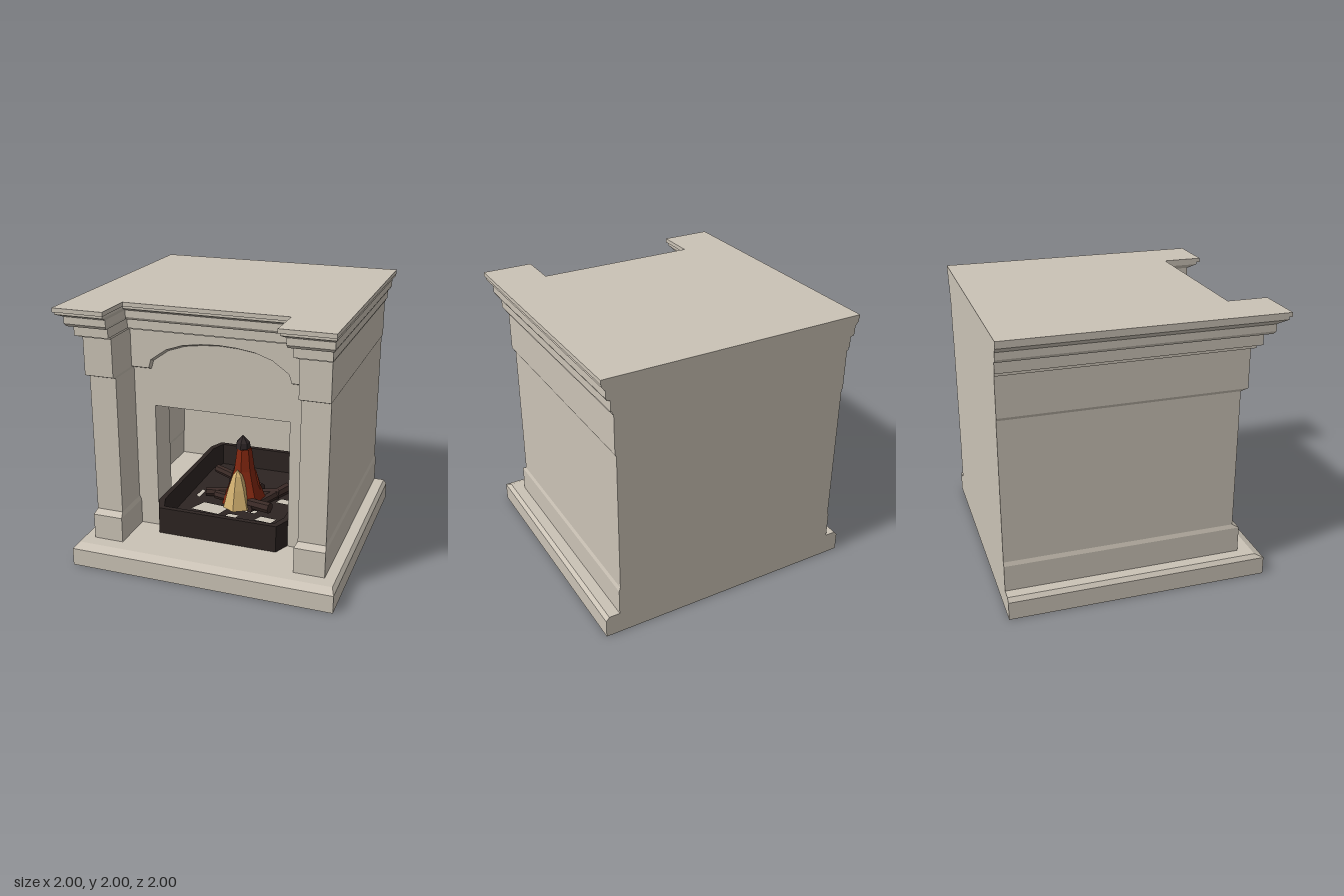
import * as THREE from 'three';

const mat = (name, color) => {
  const m = new THREE.MeshStandardMaterial({ color, flatShading: true, side: THREE.DoubleSide });
  m.name = name;
  return m;
};

// Skin between cross-sections: each row is a list of [x, y, z] points
function loft(rows) {
  const pos = [];
  for (let i = 0; i < rows.length - 1; i++) {
    for (let j = 0; j < rows[i].length - 1; j++) {
      const a = rows[i][j], b = rows[i][j + 1], c = rows[i + 1][j + 1], d = rows[i + 1][j];
      pos.push(...a, ...b, ...c, ...a, ...c, ...d);
    }
  }
  const g = new THREE.BufferGeometry();
  g.setAttribute('position', new THREE.Float32BufferAttribute(pos, 3));
  g.computeVertexNormals();
  return g;
}

const outline = pts => new THREE.Shape(pts.map(([x, y]) => new THREE.Vector2(x, y)));

// Horizontal face from [x, z] points
function plate(pts, y, holes = []) {
  const s = outline(pts.map(([x, z]) => [x, -z]));
  s.holes = holes.map(h => outline(h.map(([x, z]) => [x, -z])));
  return new THREE.ShapeGeometry(s).rotateX(-Math.PI / 2).translate(0, y, 0);
}

export function createModel() {
  const group = new THREE.Group();
  const stone = mat('stone', 0xcbc3b6);
  const iron = mat('darkIron', 0x2d2422);
  const wood = mat('charredWood', 0x3a2a26);
  const red = mat('flameRed', 0x80260f);
  const gold = mat('flameGold', 0xd2b070);
  const smoke = mat('smokyTip', 0x2f2728);
  const add = (name, geo, material) => {
    const m = new THREE.Mesh(geo, material);
    m.name = name;
    group.add(m);
    return m;
  };

  // Hearth slab with a chamfered top edge
  const slab = [[0, 1, 0.915], [0.135, 1, 0.915], [0.165, 0.975, 0.85]];
  const slabPlan = ([, x, z]) => [[-x, -1], [-x, z], [x, z], [x, -1], [-x, -1]];
  add('hearthSlab', loft(slab.map(l => slabPlan(l).map(([x, z]) => [x, l[0], z]))), stone);
  add('hearthTop', plate(slabPlan(slab[2]).slice(0, 4), 0.165), stone);
  add('hearthUnderside', plate(slabPlan(slab[0]).slice(0, 4).reverse(), 0).rotateZ(Math.PI), stone);

  // Levels of the body: height, outer x, inner x of the pillar, front z
  const levels = [
    [0.165, 0.895, 0.665, 0.75], [0.36, 0.895, 0.665, 0.75], [0.39, 0.885, 0.68, 0.7],
    [1.44, 0.885, 0.68, 0.7], [1.46, 0.895, 0.675, 0.75], [1.75, 0.895, 0.675, 0.75],
    [1.75, 0.905, 0.665, 0.785], [1.77, 0.905, 0.665, 0.785], [1.77, 0.915, 0.655, 0.83],
    [1.85, 0.915, 0.655, 0.83], [1.85, 0.935, 0.635, 0.89], [1.87, 0.945, 0.63, 0.905],
    [1.92, 0.945, 0.63, 0.905], [1.95, 0.97, 0.61, 0.98], [1.97, 0.97, 0.61, 0.98],
    [1.97, 0.975, 0.6, 1], [2, 0.975, 0.6, 1]];
  const plan = ([y, xo, xi, zf]) => {
    const zr = y < 1.75 ? 0.4 : zf - 0.3;
    return [[-xo, y, -1], [-xo, y, zf], [-xi, y, zf], [-xi, y, zr],
      [xi, y, zr], [xi, y, zf], [xo, y, zf], [xo, y, -1]];
  };
  const lower = levels.slice(0, 6).map(plan);
  add('rightPillarAndSide', loft(lower.map(r => r.slice(0, 4))), stone);
  add('leftPillarAndSide', loft(lower.map(r => r.slice(4))), stone);
  add('cornice', loft(levels.slice(5).map(plan)), stone);
  add('mantelTop', plate(plan(levels.at(-1)).map(p => [p[0], p[2]]), 2), stone);

  // Flat back following the side profile
  const side = levels.map(([y, x]) => [x, y]);
  const back = outline([...side, ...side.map(([x, y]) => [-x, y]).reverse()]);
  add('backWall', new THREE.ShapeGeometry(back).rotateY(Math.PI).translate(0, 0, -1), stone);

  // Breast wall with the fire opening
  const breast = outline([[-0.69, 0.165], [-0.52, 0.165], [-0.52, 1.155], [0.52, 1.155],
    [0.52, 0.165], [0.69, 0.165], [0.69, 1.77], [-0.69, 1.77]]);
  add('breastWall', new THREE.ExtrudeGeometry(breast, { depth: 0.25, bevelEnabled: false })
    .translate(0, 0, 0.15), stone);

  // Arched frieze: panel plus sloping lower edge
  const half = [[0.68, 1.46], [0.54, 1.46], [0.52, 1.525], [0.4, 1.61], [0.27, 1.655], [0.13, 1.675]];
  const arch = [...half.map(([x, y]) => [-x, y]), [0, 1.682], ...half.slice().reverse()];
  const row = (f, z) => arch.map(([x, y]) => [x, f(y), z]);
  add('archedFrieze', loft([row(y => y - 0.02, 0.4), row(y => y, 0.45), row(() => 1.75, 0.45)]), stone);

  // Fire tray: ring wall with clipped corners
  const ring = (x, c, zf, zb) => [[-x, zb + 0.12], [-x, zf - 0.12], [-c, zf], [c, zf],
    [x, zf - 0.12], [x, zb + 0.12], [c, zb], [-c, zb]];
  const flip = pts => pts.map(([x, z]) => [x, -z]);
  const wall = outline(flip(ring(0.518, 0.465, 0.52, -0.85)));
  wall.holes = [outline(flip(ring(0.48, 0.435, 0.48, -0.81)))];
  add('trayWall', new THREE.ExtrudeGeometry(wall, { depth: 0.21, bevelEnabled: false })
    .rotateX(-Math.PI / 2).translate(0, 0.166, 0), iron);

  // Grate floor with openings: centre x, z, half sizes
  const gaps = [[-0.23, 0.05, 0.14, 0.08], [-0.4, -0.18, 0.02, 0.07], [-0.3, -0.3, 0.06, 0.02],
    [-0.02, 0.12, 0.05, 0.025], [0.1, 0.0, 0.05, 0.025], [0.25, 0.1, 0.08, 0.04],
    [-0.2, 0.26, 0.06, 0.02], [0.3, -0.25, 0.06, 0.04]];
  const holes = gaps.map(([x, z, w, d]) =>
    [[x - w, z + d * 0.7], [x - w * 0.6, z - d], [x + w, z - d * 0.7], [x + w * 0.7, z + d]]);
  add('trayFloor', plate(ring(0.49, 0.445, 0.49, -0.82), 0.19, holes), iron);

  // Charred logs: x, z, length, turn
  [[-0.05, -0.22, 0.6, 0.25], [0.02, -0.02, 0.5, -0.2], [0.18, -0.2, 0.5, 1.2], [-0.15, -0.42, 0.55, -0.5]]
    .forEach(([x, z, len, turn], i) => {
      const log = add('log', new THREE.CylinderGeometry(0.035, 0.045, len, 7).rotateZ(Math.PI / 2), wood);
      log.position.set(x, 0.23 + (i % 2) * 0.03, z);
      log.rotation.y = turn;
    });

  // Faceted flames
  const flame = (name, profile, sides, material, x, z) => {
    const m = add(name, new THREE.LatheGeometry(profile.map(p => new THREE.Vector2(...p)), sides), material);
    m.position.set(x, 0, z);
  };
  flame('outerFlame', [[0.19, 0.22], [0.13, 0.37], [0.085, 0.5], [0.06, 0.68]], 7, red, 0, -0.12);
  flame('flameTip', [[0.06, 0.68], [0.055, 0.73], [0, 0.79]], 7, smoke, -0.01, -0.12);
  flame('innerFlame', [[0.115, 0.22], [0.075, 0.38], [0.04, 0.49], [0, 0.54]], 6, gold, -0.015, 0.0);
  [-1, 1].forEach(s =>
    flame('sideFlame', [[0.07, 0.22], [0.04, 0.38], [0, 0.5]], 5, s < 0 ? smoke : red, s * 0.09, -0.14));
  return group;
}
